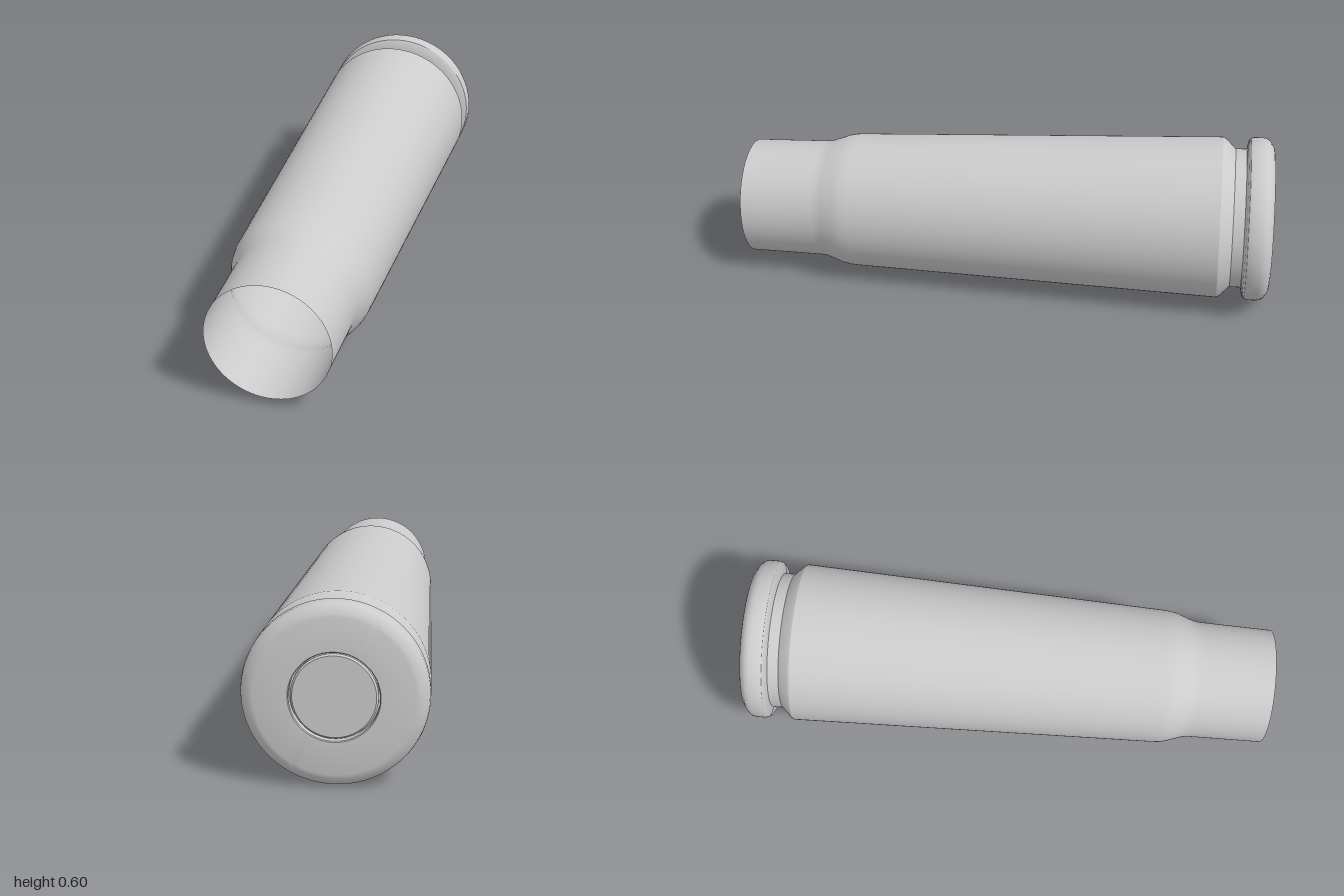
import * as THREE from 'three';
import { toCreasedNormals } from 'three/addons/utils/BufferGeometryUtils.js';

const SEGMENTS = 96;
const material = new THREE.MeshStandardMaterial({ color: 0xcccccc, side: THREE.DoubleSide });

// Turns a profile of [radius, distance along the axis] pairs
function turned(name, profile) {
  const points = profile.map(([r, t]) => new THREE.Vector2(r, t));
  const geometry = toCreasedNormals(new THREE.LatheGeometry(points, SEGMENTS), 0.55);
  const mesh = new THREE.Mesh(geometry, material);
  mesh.name = name;
  return mesh;
}

export function createModel() {
  const model = new THREE.Group();
  model.name = 'cartridgeCase';

  // Primer disc, slightly recessed in its pocket
  model.add(turned('primer', [[0, 0.006], [0.132, 0.006], [0.138, 0.012], [0.138, 0.03]]));

  // Rear face with primer pocket, and the rounded rim
  model.add(turned('rim', [
    [0.138, 0.03], [0.143, 0.03], [0.143, 0.003], [0.146, 0],
    [0.255, 0], [0.268, 0.004], [0.286, 0.016], [0.295, 0.028], [0.298, 0.042],
    [0.298, 0.074], [0.294, 0.086], [0.284, 0.094], [0.254, 0.1],
  ]));

  // Extractor groove with a sloped front shoulder
  model.add(turned('extractorGroove', [[0.254, 0.1], [0.254, 0.14], [0.29, 0.176], [0.295, 0.186]]));

  // Tapered body, soft shoulder, neck and open mouth
  model.add(turned('bodyAndNeck', [
    [0.295, 0.186], [0.251, 1.53], [0.249, 1.56], [0.244, 1.585],
    [0.226, 1.635], [0.22, 1.655], [0.218, 1.675], [0.213, 1.943],
  ]));

  // Lay the case down: it points forward, to its left, and slightly downward
  const yaw = THREE.MathUtils.degToRad(15);
  const dip = THREE.MathUtils.degToRad(1.85);
  const axis = new THREE.Vector3(
    Math.sin(yaw) * Math.cos(dip), -Math.sin(dip), Math.cos(yaw) * Math.cos(dip));
  model.quaternion.setFromUnitVectors(new THREE.Vector3(0, 1, 0), axis);
  model.position.set(-0.215, 0.306, -0.934);

  const root = new THREE.Group();
  root.name = 'spentCase';
  root.add(model);
  return root;
}
